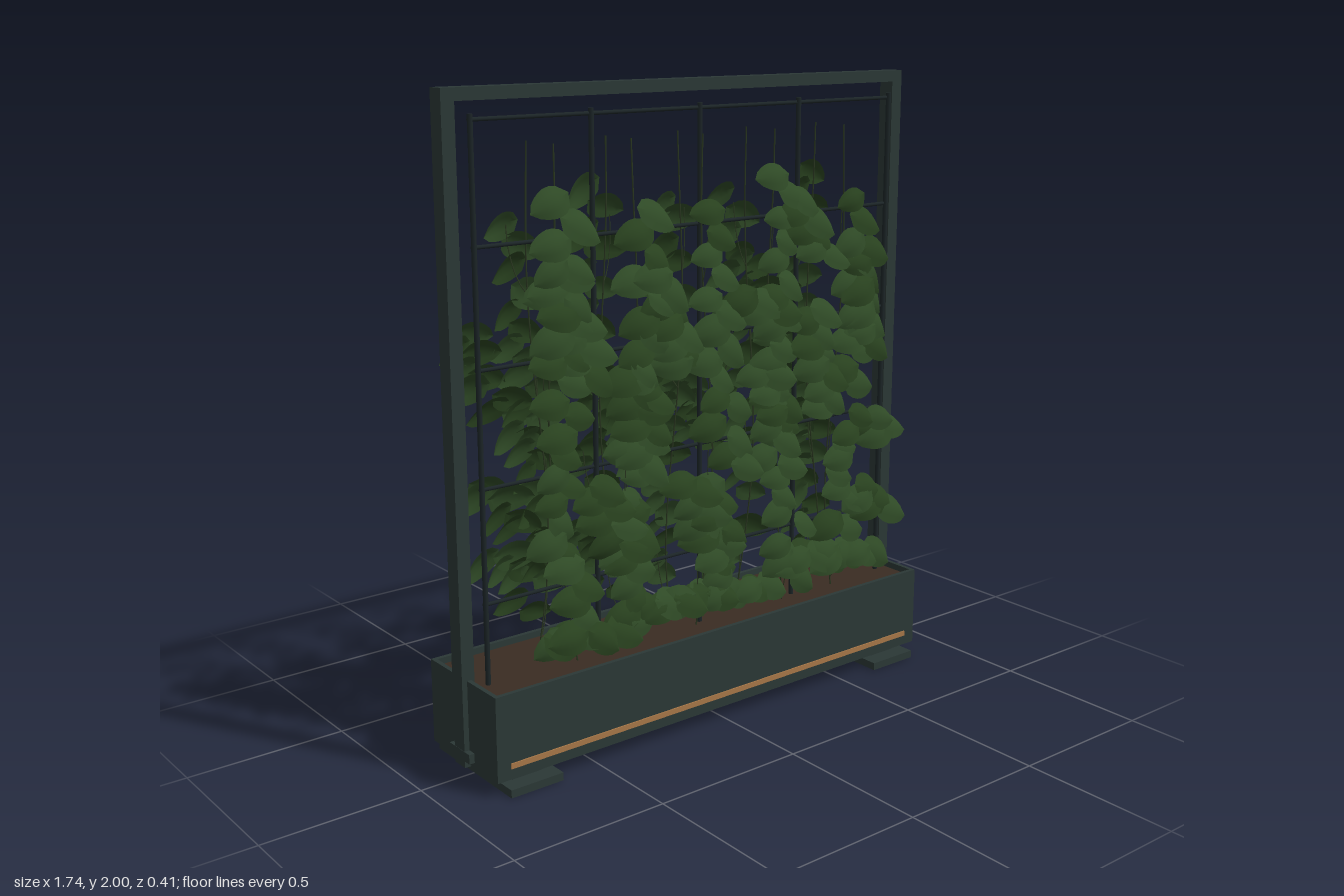
import * as THREE from 'three';
import { mergeGeometries } from 'three/addons/utils/BufferGeometryUtils.js';

const mat = (color, side = THREE.FrontSide) => new THREE.MeshStandardMaterial({ color, side });
const steel = mat(0x2b3836), rodMat = mat(0x1c2527), soilMat = mat(0x3a2c22), copper = mat(0xa87848);
const leafMats = [mat(0x2f4a26, THREE.DoubleSide), mat(0x29421f, THREE.DoubleSide)];
const stemMat = mat(0x2c3a22);

// small seeded generator
function seeded(seed) {
  let s = seed;
  return () => ((s = (s * 16807) % 2147483647) / 2147483647);
}

function box(parent, name, material, w, h, d, x, y, z) {
  const m = new THREE.Mesh(new THREE.BoxGeometry(w, h, d), material);
  m.name = name;
  m.position.set(x, y, z);
  parent.add(m);
  return m;
}

function rod(parent, name, length, r, x, y, z, horizontal) {
  const m = new THREE.Mesh(new THREE.CylinderGeometry(r, r, length, 8), rodMat);
  m.name = name;
  m.position.set(x, y, z);
  if (horizontal) m.rotation.z = Math.PI / 2;
  parent.add(m);
}

// unit leaf: base at the origin, tip at +x, folded along the midrib and drooping
function leafGeometry() {
  const g = new THREE.PlaneGeometry(1, 1, 7, 4);
  const p = g.attributes.position;
  for (let i = 0; i < p.count; i++) {
    const t = p.getX(i) + 0.5, v = p.getY(i) * 2;
    const half = 0.37 * Math.pow(Math.sin(Math.PI * Math.pow(t, 0.8)), 0.65) || 0;
    const y = v * half;
    p.setXYZ(i, t - 0.08 * v * v * (1 - t), y - 0.1 * t * t, 0.1 * Math.sin(Math.PI * t) - 0.3 * Math.abs(y) - 0.1 * t * t);
  }
  g.computeVertexNormals();
  return g;
}

// wandering line of one climbing stem
const stemX = (k, y, side) =>
  [-0.54, -0.27, 0, 0.28, 0.57][k] + 0.035 * Math.sin(y * 3.4 + k * 1.9 + side) * (1.95 - y);

// leafy side shoots: side, start x, y, end x, y
const shoots = [
  [1, -0.57, 1.52, -0.47, 1.2], [1, -0.2, 1.45, -0.12, 1.18], [1, -0.3, 1.2, -0.27, 0.95],
  [1, -0.45, 0.85, -0.33, 0.62], [1, 0.32, 1.64, 0.45, 1.45], [1, 0.13, 1.36, 0.26, 1.27],
  [1, 0.4, 1.28, 0.48, 0.95], [1, 0.62, 1.45, 0.65, 1.15], [1, 0.2, 1.1, 0.3, 0.9],
  [1, 0.66, 0.88, 0.73, 0.83], [1, 0.62, 0.65, 0.72, 0.56], [1, -0.1, 0.8, 0.02, 0.55],
  [1, -0.62, 0.42, -0.4, 0.4], [1, 0.3, 0.48, 0.68, 0.42], [1, -0.25, 0.44, 0.2, 0.4],
  [-1, -0.74, 1.3, -0.68, 1.14], [-1, -0.7, 0.84, -0.56, 0.7], [-1, -0.62, 1.1, -0.5, 0.9],
  [-1, -0.22, 1.12, -0.1, 0.82], [-1, 0.04, 1.1, 0.14, 0.85], [-1, 0.33, 1.42, 0.42, 1.15],
  [-1, 0.5, 1.05, 0.62, 0.8], [-1, -0.42, 0.65, -0.2, 0.5], [-1, -0.66, 0.62, -0.55, 0.55],
];

function foliage(side) {
  const group = new THREE.Group();
  group.name = side > 0 ? 'frontVines' : 'backVines';
  const rnd = seeded(side > 0 ? 4711 : 9123);
  const unit = leafGeometry();
  const leaves = [[], []], stems = [];
  const X = new THREE.Vector3(), Y = new THREE.Vector3(), Z = new THREE.Vector3();
  let flip = 1;

  const addLeaf = (x, y, size) => {
    flip = -flip;
    const droop = 0.1 + rnd() * 0.5;
    X.set(flip * Math.cos(droop), -Math.sin(droop), side * (rnd() - 0.4) * 0.3).normalize();
    Z.set((rnd() - 0.5) * 0.5, 0.25 + rnd() * 0.4, side).normalize();
    Y.crossVectors(Z, X).normalize();
    // keep the blade hanging downwards whichever way it points
    if (Y.y < 0) Y.negate();
    Z.crossVectors(X, Y).normalize();
    if (Z.z * side < 0) { Y.negate(); Z.negate(); }
    const m = new THREE.Matrix4().makeBasis(X, Y, Z).scale(new THREE.Vector3(size, size, size));
    const z = side * (0.115 + rnd() * 0.025);
    m.setPosition(x - flip * 0.015, Math.max(y, 0.4), z);
    leaves[rnd() < 0.6 ? 0 : 1].push(unit.clone().applyMatrix4(m));
  };

  for (let k = 0; k < 5; k++) {
    // main stem against the trellis
    const pts = [];
    for (let i = 0; i <= 8; i++) {
      const y = 0.29 + (1.55 * i) / 8;
      pts.push(new THREE.Vector3(stemX(k, y, side), y, side * 0.064));
    }
    stems.push(new THREE.TubeGeometry(new THREE.CatmullRomCurve3(pts), 24, 0.0025, 5));
    // alternating leaves, denser towards the soil
    const top = 1.66 + 0.05 * Math.sin(k * 2.3 + side);
    for (let y = top; y > 0.38; y -= y > 1.4 ? 0.065 : 0.05) {
      const x = stemX(k, y, side) + (rnd() - 0.5) * (y < 1.2 ? 0.09 : 0.03);
      addLeaf(x, y + (rnd() - 0.5) * 0.02, 0.105 + rnd() * 0.035);
    }
    // fine twigs from the stem out to the leaf layer
    for (let i = 0; i < 4; i++) {
      const y = 0.32 + i * 0.36, x = stemX(k, y, side), dx = (rnd() - 0.5) * 0.12;
      stems.push(new THREE.TubeGeometry(new THREE.QuadraticBezierCurve3(
        new THREE.Vector3(x, y, side * 0.066), new THREE.Vector3(x + dx, y + 0.06, side * 0.1),
        new THREE.Vector3(x + dx, y + 0.2, side * 0.11)), 6, 0.002, 4));
    }
  }
  for (const [s, x0, y0, x1, y1] of shoots) {
    if (s !== side) continue;
    const n = Math.max(3, Math.round(Math.hypot(x1 - x0, y1 - y0) / 0.036));
    for (let i = 0; i <= n; i++) {
      addLeaf(x0 + ((x1 - x0) * i) / n, y0 + ((y1 - y0) * i) / n, 0.115 + rnd() * 0.03);
    }
  }

  leaves.forEach((list, i) => {
    const m = new THREE.Mesh(mergeGeometries(list), leafMats[i]);
    m.name = i ? 'darkLeaves' : 'leaves';
    group.add(m);
  });
  const stemMesh = new THREE.Mesh(mergeGeometries(stems), stemMat);
  stemMesh.name = 'stems';
  group.add(stemMesh);
  return group;
}

export function createModel() {
  const model = new THREE.Group();
  model.name = 'greenScreenPlanter';

  // planter trough with soil
  const planter = new THREE.Group();
  planter.name = 'planter';
  model.add(planter);
  box(planter, 'planterFloor', steel, 1.68, 0.02, 0.34, 0, 0.055, 0);
  box(planter, 'soil', soilMat, 1.67, 0.03, 0.34, 0, 0.275, 0);
  for (const s of [-1, 1]) {
    box(planter, 'longWall', steel, 1.7, 0.265, 0.014, 0, 0.1775, s * 0.174);
    box(planter, 'endWall', steel, 0.014, 0.265, 0.336, s * 0.843, 0.1775, 0);
    box(planter, 'accentStrip', copper, 1.61, 0.017, 0.006, 0, 0.087, s * 0.182);
    box(planter, 'foot', steel, 0.18, 0.025, 0.41, s * 0.73, 0.0125, 0);
    box(planter, 'footSpacer', steel, 0.1, 0.025, 0.3, s * 0.73, 0.035, 0);
  }

  // rectangular frame
  const frame = new THREE.Group();
  frame.name = 'frame';
  model.add(frame);
  for (const s of [-1, 1]) {
    box(frame, 'post', steel, 0.042, 1.96, 0.055, s * 0.846, 1.02, 0);
    box(frame, 'postBracket', steel, 0.03, 0.03, 0.11, s * 0.853, 0.077, 0);
  }
  box(frame, 'topBeam', steel, 1.734, 0.036, 0.055, 0, 1.982, 0);

  // trellis grid
  const trellis = new THREE.Group();
  trellis.name = 'trellis';
  model.add(trellis);
  for (let i = 0; i < 5; i++) {
    rod(trellis, 'uprightRod', 1.64, 0.008, -0.79 + i * 0.395, 1.11, 0.046, false);
    rod(trellis, 'crossRod', 1.59, 0.006, 0, 0.535 + i * 0.345, 0.042, true);
  }

  // climbing plants on both sides
  model.add(foliage(1), foliage(-1));
  return model;
}
